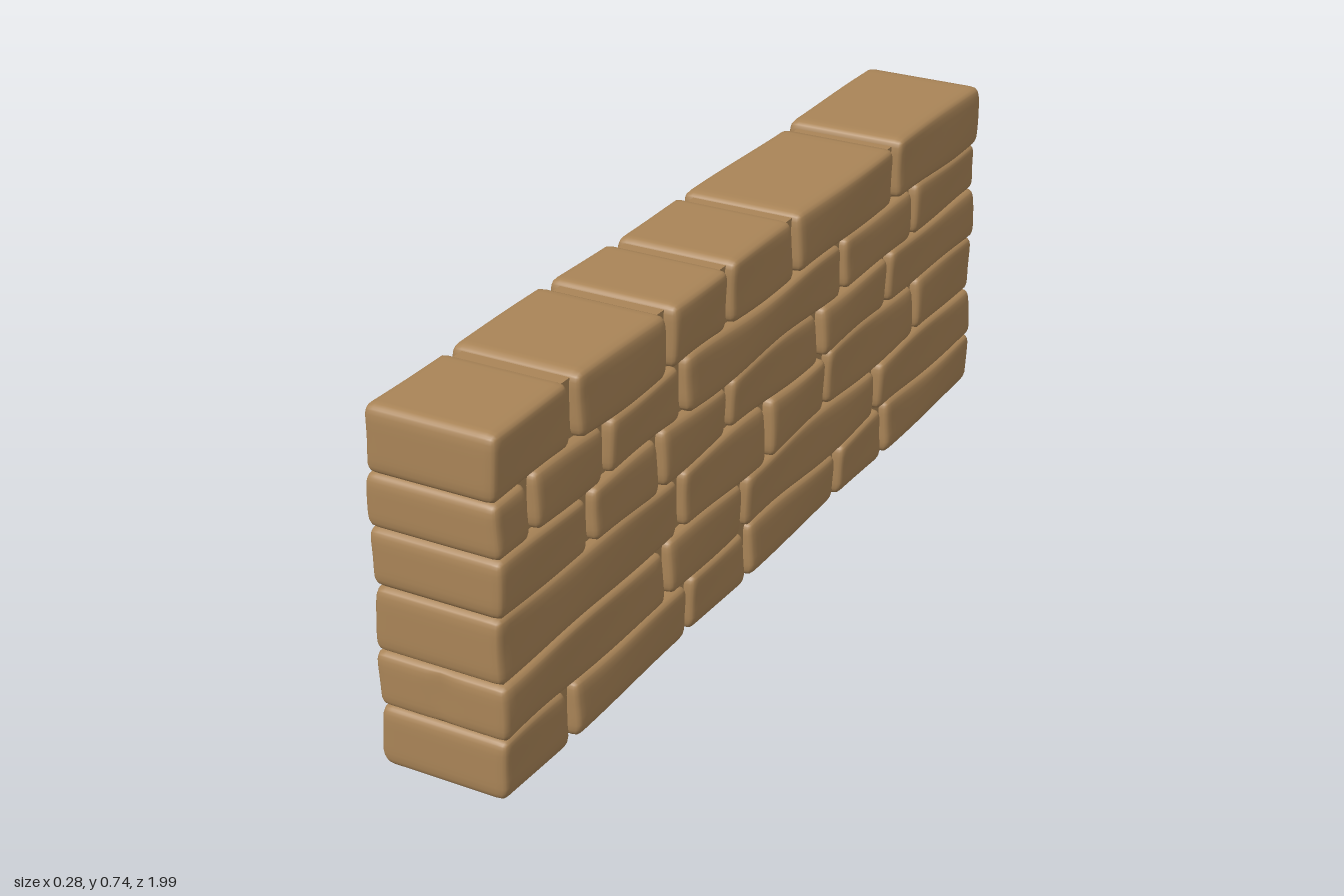
import * as THREE from 'three';
import { mergeVertices } from 'three/addons/utils/BufferGeometryUtils.js';

// Height where each course starts (last value is the wall top)
const COURSES = [0.003, 0.126, 0.246, 0.375, 0.49, 0.604, 0.735];
// Positions of the upright joints along the wall, per course from the bottom
const JOINTS = [
  [0.77, 0.335, 0.09, -0.315, -0.545],
  [0.42, 0.105, -0.5],
  [0.36, 0.01, -0.255, -0.69],
  [0.69, 0.44, 0.17, -0.22, -0.545],
  [0.88, 0.63, 0.35, -0.325, -0.665],
  [0.735, 0.405, 0.168, -0.107, -0.57],
];
const GAP = 0.026;
const END = 0.996;

// Soft-edged block with gently worn faces; endGroove presses a joint into its outer end
function brickGeometry(size, centre, endGroove) {
  const geo = new THREE.BoxGeometry(2, 2, 2, 14, 10, 18);
  geo.deleteAttribute('uv');
  geo.deleteAttribute('normal');
  const half = size.clone().multiplyScalar(0.5);
  const radius = new THREE.Vector3(0.016, 0.026, 0.018);
  const pos = geo.attributes.position;
  const p = new THREE.Vector3(), q = new THREE.Vector3();
  // crowd the grid lines towards the edges
  const spread = (t) => 0.35 * t + 0.65 * Math.sin(t * Math.PI / 2);
  for (let i = 0; i < pos.count; i++) {
    p.fromBufferAttribute(pos, i);
    p.set(spread(p.x), spread(p.y), spread(p.z)).multiply(half);
    const inner = half.clone().sub(radius);
    q.copy(p).clamp(inner.clone().negate(), inner);
    p.sub(q).divide(radius).normalize().multiply(radius).add(q);

    if (endGroove) {
      const side = Math.sign(endGroove);
      if (p.z * side > half.z - 0.02) {
        const tall = 1 - Math.pow(Math.abs(p.y) / half.y, 4);
        p.z -= endGroove * Math.exp(-Math.pow(p.x / 0.018, 2)) * tall;
      }
    }
    p.add(centre);

    // hand-laid unevenness, shared by neighbouring bricks
    const { x, y, z } = p;
    p.x += Math.sign(x) * 0.003 * Math.sin(z * 9 + y * 23 + Math.sign(x));
    if (y > 0.08 && y < 0.68) p.y += 0.004 * Math.sin(z * 13 + y * 17);
    // lower edge tucks in
    if (y < 0.03) p.x *= 1 - (0.03 - y) * 2;
    p.y = Math.max(p.y, 0);
    pos.setXYZ(i, p.x, p.y, p.z);
  }
  const merged = mergeVertices(geo, 1e-5);
  merged.computeVertexNormals();
  return merged;
}

export function createModel() {
  const wall = new THREE.Group();
  wall.name = 'brickWall';
  const sandstone = new THREE.MeshStandardMaterial({ color: 0xa98457 });
  sandstone.name = 'sandstone';

  // Recessed mortar behind the joints
  const core = new THREE.Mesh(new THREE.BoxGeometry(0.226, 0.71, 1.95), sandstone);
  core.position.y = 0.37;
  core.name = 'mortarCore';
  wall.add(core);

  // Courses of through-bricks
  JOINTS.forEach((joints, row) => {
    const course = new THREE.Group();
    course.name = `course${row + 1}`;
    const edges = [END, ...joints, -END];
    const y0 = COURSES[row], y1 = COURSES[row + 1];
    for (let i = 0; i < edges.length - 1; i++) {
      const first = i === 0, last = i === edges.length - 2;
      const zFront = edges[i] - (first ? 0 : GAP / 2);
      const zBack = edges[i + 1] + (last ? 0 : GAP / 2);
      // the rearmost coping brick stands slightly proud
      const top = y1 + (row === 5 ? (last ? 0.006 : 0) : 0.002);
      const width = 0.274 + 0.004 * Math.sin(row * 2.3 + i * 1.7);
      let groove = 0;
      if (last && (row === 4 || row === 1)) groove = -0.018;
      if (first && row === 1) groove = 0.006;
      const brick = new THREE.Mesh(brickGeometry(
        new THREE.Vector3(width, top - y0, zFront - zBack),
        new THREE.Vector3(0, (top + y0) / 2, (zFront + zBack) / 2),
        groove), sandstone);
      brick.name = `brick${row + 1}_${i + 1}`;
      course.add(brick);
    }
    wall.add(course);
  });
  return wall;
}
